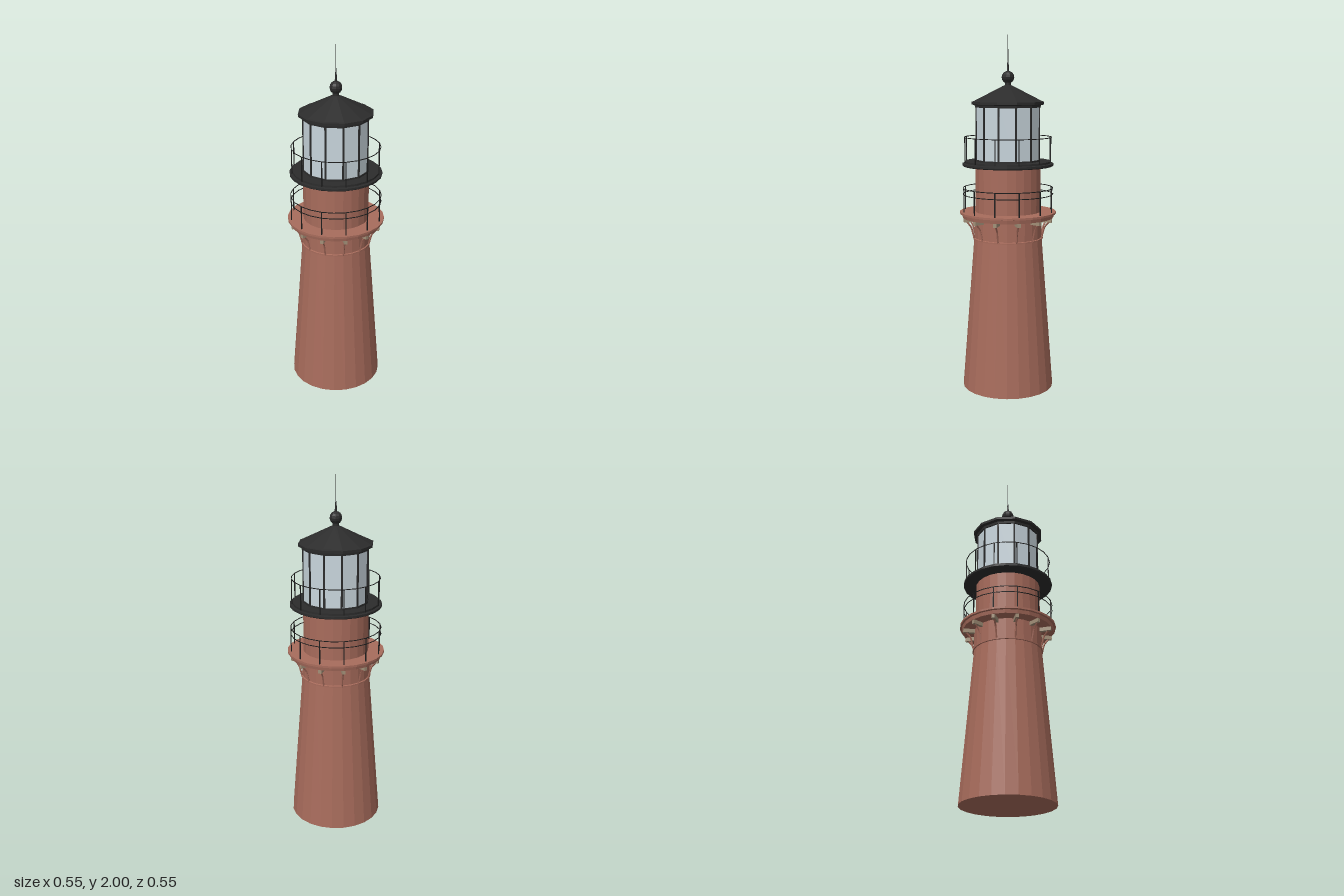
import * as THREE from 'three';

const paint = (color, flatShading = true) => new THREE.MeshStandardMaterial({ color, flatShading });
const brick = paint(0xa86c5c);
const iron = paint(0x2c2c2c);
const railIron = paint(0x1c1c1c, false);
const glass = paint(0xc9d6dd);
const stone = paint(0xa39078);

const SIDES = 24;
const BAYS = 12;

export function createModel() {
  const model = new THREE.Group();

  const add = (name, geometry, material, parent = model) => {
    const mesh = new THREE.Mesh(geometry, material);
    mesh.name = name;
    parent.add(mesh);
    return mesh;
  };

  // Turned part from [radius, height] points, listed bottom to top
  const turned = (name, profile, sides, material) =>
    add(name, new THREE.LatheGeometry(profile.map(([r, y]) => new THREE.Vector2(r, y)), sides), material);

  // Repeats a part around the axis; build(holder) works with +z pointing outward
  const around = (name, build) => {
    const ring = new THREE.Group();
    ring.name = name;
    for (let i = 0; i < BAYS; i++) {
      const holder = new THREE.Group();
      holder.rotation.y = (i / BAYS) * Math.PI * 2;
      build(holder);
      ring.add(holder);
    }
    model.add(ring);
  };

  const railing = (name, radius, base, heights) => {
    const top = Math.max(...heights);
    around(name + 'Posts', (holder) => {
      const post = new THREE.BoxGeometry(0.005, top - base, 0.005);
      add('post', post, railIron, holder).position.set(0, (top + base) / 2, radius);
    });
    for (const y of heights) {
      const rail = add(name + 'Rail', new THREE.TorusGeometry(radius, 0.0025, 5, SIDES), railIron);
      rail.rotation.x = Math.PI / 2;
      rail.position.y = y;
    }
  };

  // Tapered tower with a straight collar and the watch room above
  turned('tower', [[0, 0], [0.26, 0], [0.192, 0.87], [0.192, 1.0]], SIDES, brick);
  turned('towerBand', [[0.185, 0.862], [0.199, 0.864], [0.199, 0.872], [0.185, 0.876]], SIDES, brick);
  turned('watchRoom', [[0.184, 1.0], [0.184, 1.29]], SIDES, brick);

  // Main gallery with a stepped edge
  turned('mainGallery', [
    [0.18, 0.988], [0.258, 0.988], [0.262, 1.008], [0.273, 1.01], [0.273, 1.021], [0.18, 1.021],
  ], SIDES, brick);

  // Curved brackets and stone beam ends under the main gallery
  const bracketCurve = new THREE.CatmullRomCurve3([
    [0.195, 0.868], [0.203, 0.9], [0.214, 0.937], [0.24, 0.97],
  ].map(([z, y]) => new THREE.Vector3(0, y, z)));
  const bracketGeometry = new THREE.TubeGeometry(bracketCurve, 8, 0.005, 4);
  const beamGeometry = new THREE.BoxGeometry(0.018, 0.022, 0.07);
  around('galleryBrackets', (holder) => {
    add('bracket', bracketGeometry, brick, holder);
    add('beamEnd', beamGeometry, stone, holder).position.set(0, 0.977, 0.22);
  });
  railing('mainGallery', 0.254, 1.02, [1.12, 1.155]);

  // Lantern gallery
  turned('lanternGallery', [
    [0.175, 1.278], [0.25, 1.278], [0.257, 1.283], [0.257, 1.294],
    [0.241, 1.296], [0.241, 1.307], [0, 1.307],
  ], SIDES, iron);
  railing('lanternGallery', 0.246, 1.3, [1.44]);

  // Glazed lantern room with a glazing bar at every corner
  turned('lanternGlass', [[0.18, 1.3], [0.18, 1.62]], BAYS, glass);
  turned('lanternSill', [[0.185, 1.3], [0.185, 1.316], [0.17, 1.316]], BAYS, iron);
  const barGeometry = new THREE.BoxGeometry(0.01, 0.32, 0.01);
  around('glazingBars', (holder) => {
    add('glazingBar', barGeometry, iron, holder).position.set(0, 1.46, 0.179);
  });

  // Twelve-sided roof with a stepped eave
  turned('roof', [
    [0, 1.605], [0.187, 1.605], [0.189, 1.618], [0.207, 1.622], [0.207, 1.636],
    [0.195, 1.64], [0.03, 1.722], [0.018, 1.727], [0.018, 1.745],
  ], BAYS, iron);

  // Ball finial and lightning rod
  add('finialBall', new THREE.SphereGeometry(0.035, 10, 8), iron).position.y = 1.77;
  turned('lightningRod', [[0.007, 1.798], [0.004, 1.85], [0.002, 1.86], [0.0015, 2], [0, 2]], 6, iron);

  return model;
}
